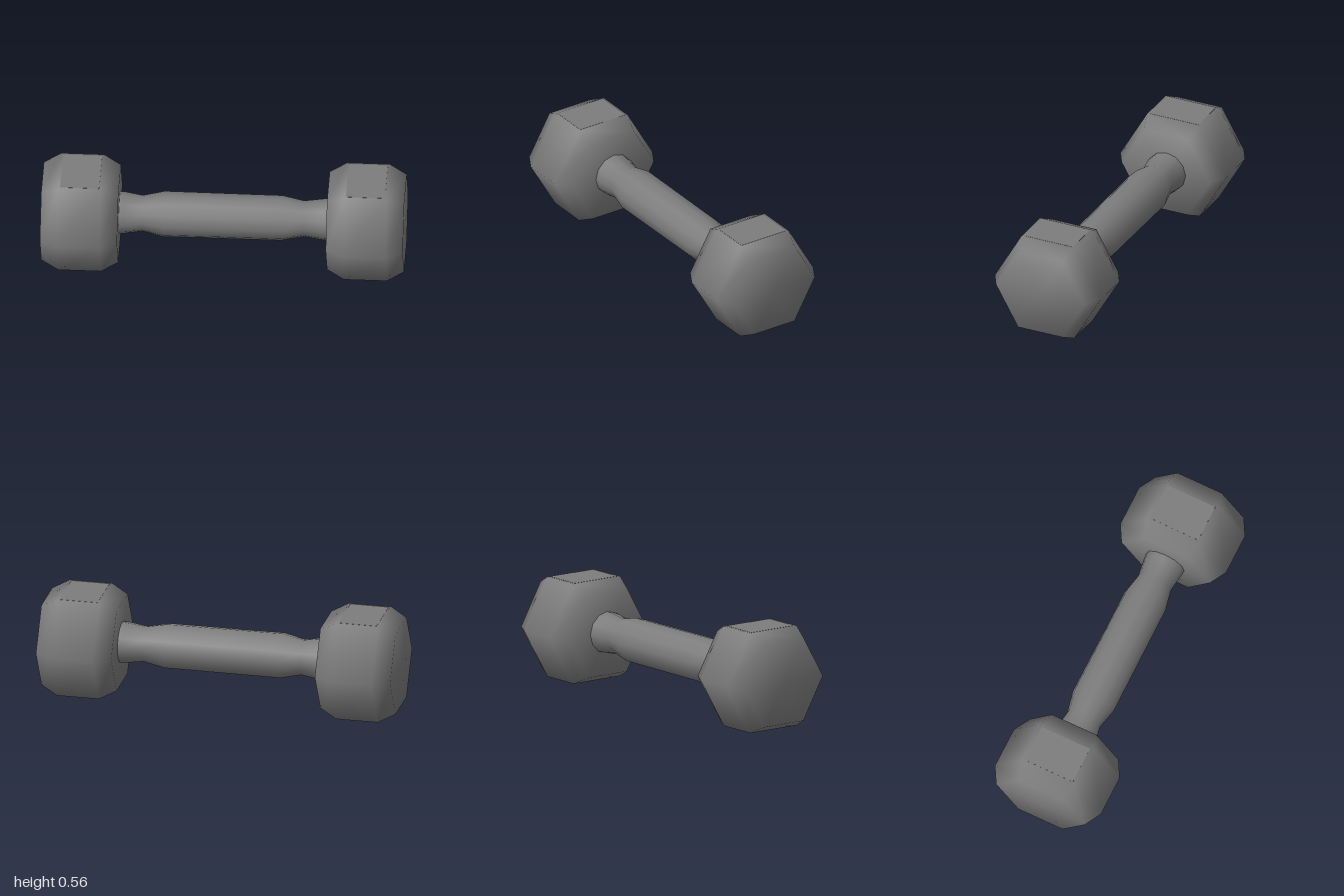
import * as THREE from 'three';

const CENTER_Y = 0.281;

// Solid turned around the x axis from [x, radius] pairs
function turned(profile, sides) {
  const points = profile.map(([x, r]) => new THREE.Vector2(r, x));
  return new THREE.LatheGeometry(points, sides).rotateZ(-Math.PI / 2);
}

// Hexagonal weight with chamfered ends, softly shaded over all its edges
function weightGeometry() {
  const geometry = turned([
    [-0.2125, 0], [-0.2125, 0.271], [-0.118, 0.3245],
    [0.118, 0.3245], [0.2125, 0.271], [0.2125, 0],
  ], 6);
  const { position, normal } = geometry.attributes;
  const n = new THREE.Vector3();
  for (let i = 0; i < position.count; i++) {
    n.fromBufferAttribute(position, i);
    n.x = 45 * n.x ** 3;
    n.normalize();
    normal.setXYZ(i, n.x, n.y, n.z);
  }
  return geometry;
}

export function createModel() {
  const group = new THREE.Group();
  group.name = 'dumbbell';
  const material = new THREE.MeshStandardMaterial({ color: 0x7c7c7c });

  // Weights at both ends, each with a thin flat panel on top
  const head = weightGeometry();
  const panelShape = new THREE.BoxGeometry(0.215, 0.004, 0.295);
  for (const [name, side] of [['left', 1], ['right', -1]]) {
    const weight = new THREE.Mesh(head, material);
    weight.name = `${name}Weight`;
    weight.position.set(side * 0.7875, CENTER_Y, 0);
    const panel = new THREE.Mesh(panelShape, material);
    panel.name = `${name}TopPanel`;
    panel.position.y = 0.28;
    weight.add(panel);
    group.add(weight);
  }

  // Grip with a narrow neck near each weight
  const handle = new THREE.Mesh(turned([
    [-0.6, 0.119], [-0.55, 0.117], [-0.45, 0.1], [-0.33, 0.127],
    [0.32, 0.125], [0.44, 0.1], [0.55, 0.115], [0.6, 0.118],
  ], 12), material);
  handle.name = 'handle';
  handle.position.set(0, CENTER_Y + 0.005, -0.003);
  group.add(handle);

  return group;
}
